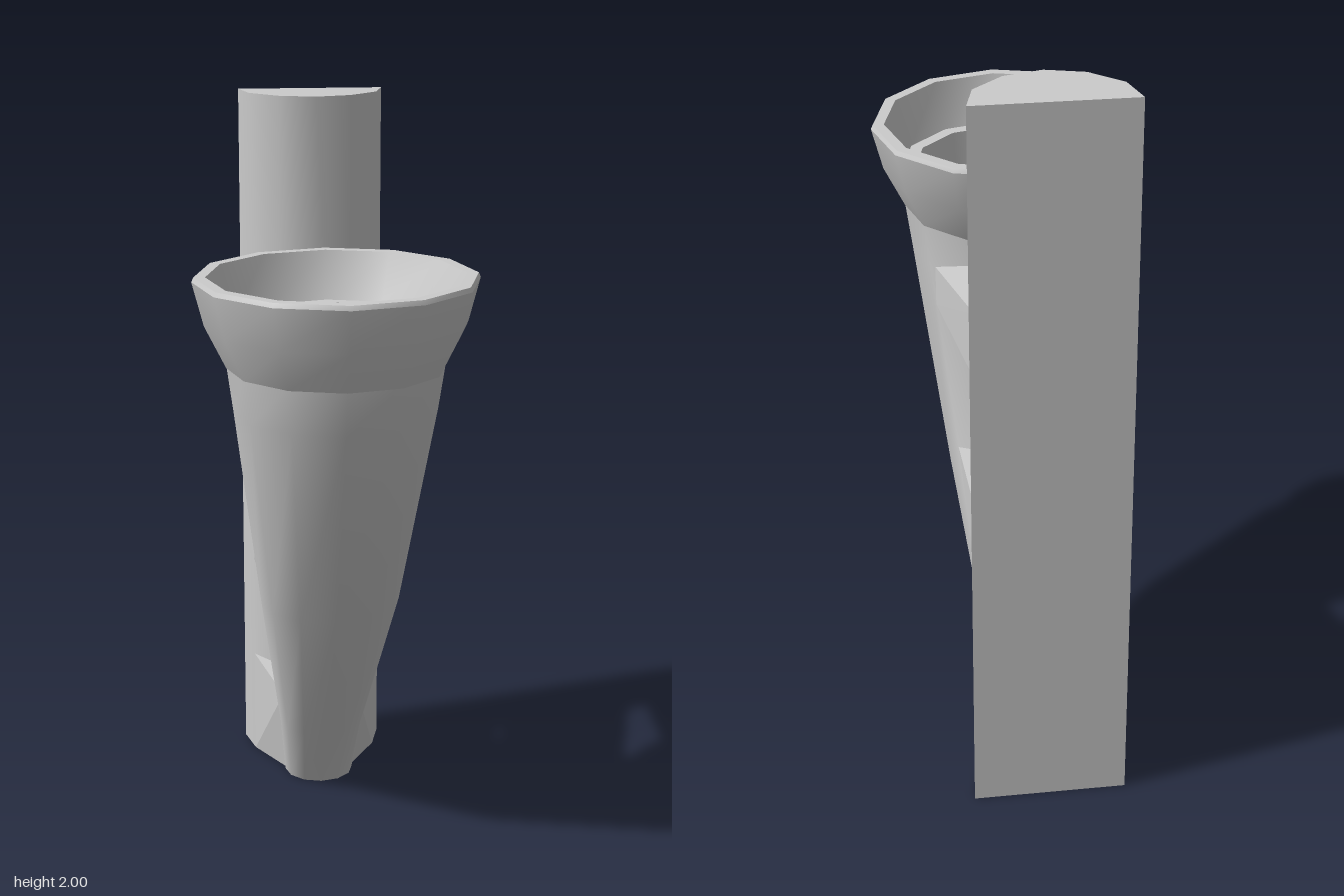
import * as THREE from 'three';
import { toCreasedNormals } from 'three/addons/utils/BufferGeometryUtils.js';
import { ConvexGeometry } from 'three/addons/geometries/ConvexGeometry.js';

const SIDES = 12;
const CREASE = 0.62;

// Skin over a stack of 12-sided rings, each given as [y, centre z, radius]
function loft(rings) {
  const pos = [], idx = [];
  for (const [y, cz, r] of rings) {
    for (let i = 0; i < SIDES; i++) {
      const a = (i / SIDES) * Math.PI * 2;
      pos.push(r * Math.sin(a), y, cz + r * Math.cos(a));
    }
  }
  for (let k = 0; k < rings.length - 1; k++) {
    for (let i = 0; i < SIDES; i++) {
      const j = (i + 1) % SIDES;
      const a = k * SIDES + i, b = k * SIDES + j;
      const c = a + SIDES, d = b + SIDES;
      if (rings[k][2] > 0) idx.push(a, b, d);
      if (rings[k + 1][2] > 0) idx.push(a, d, c);
    }
  }
  const geo = new THREE.BufferGeometry();
  geo.setAttribute('position', new THREE.Float32BufferAttribute(pos, 3));
  geo.setIndex(idx);
  return toCreasedNormals(geo, CREASE);
}

// Solid spanned by corner points, optionally mirrored in x
const solid = (corners, sx = 1) =>
  new ConvexGeometry(corners.map(([x, y, z]) => new THREE.Vector3(sx * x, y, z)));

export function createModel() {
  const group = new THREE.Group();
  const mat = new THREE.MeshStandardMaterial({ color: 0xcccccc });
  const add = (name, geo) => {
    const mesh = new THREE.Mesh(geo, mat);
    mesh.name = name;
    group.add(mesh);
  };

  // Tall back plate: flat behind, rounded in front
  const outline = [[-0.205, 0.6], [0.205, 0.6], [0.18, 0.5], [0.1, 0.425],
    [0, 0.397], [-0.1, 0.425], [-0.18, 0.5]];
  const plate = new THREE.ExtrudeGeometry(
    new THREE.Shape(outline.map(([x, y]) => new THREE.Vector2(x, y))),
    { depth: 2, bevelEnabled: false });
  plate.rotateX(-Math.PI / 2);
  add('backPlate', toCreasedNormals(plate, CREASE));

  // Leaning, tapering body
  add('taperedBody', loft([
    [0, -0.34, 0], [0, -0.34, 0.1], [0.2, -0.24, 0.12], [0.68, 0.045, 0.19],
    [1.27, 0.218, 0.267], [1.4, 0.2275, 0.285],
  ]));

  // Flared cup with a lip, an inner ledge and a floor
  add('cup', loft([
    [1.39, 0.2275, 0.285], [1.5, 0.2275, 0.34], [1.615, 0.2275, 0.37],
    [1.627, 0.2275, 0.365], [1.627, 0.2275, 0.335], [1.5, 0.2275, 0.29],
    [1.5, 0.2275, 0.255], [1.27, 0.22, 0.235], [1.26, 0.22, 0],
  ]));

  // Paired side straps from the plate to the body
  const upper = [
    [0.18, 1.42, -0.5], [0.1, 1.42, -0.425], [0.22, 1.27, 0.08], [0.13, 1.31, 0],
    [0.18, 1.235, -0.5], [0.1, 1.235, -0.425], [0.22, 1.165, 0.06], [0.13, 1.165, 0],
  ];
  const middle = [
    [0.18, 0.84, -0.5], [0.1, 0.84, -0.425], [0.175, 0.765, -0.03], [0.07, 0.79, -0.1],
    [0.18, 0.62, -0.5], [0.1, 0.62, -0.425], [0.145, 0.545, -0.13], [0.07, 0.56, -0.19],
  ];
  for (const [side, sx] of [['left', 1], ['right', -1]]) {
    add(side + 'UpperStrap', solid(upper, sx));
    add(side + 'MiddleStrap', solid(middle, sx));
  }

  // Solid foot web joining body and plate at the base
  const foot = [];
  for (const sx of [1, -1]) {
    foot.push([sx * 0.18, 0.31, -0.5], [sx * 0.11, 0.27, -0.27],
      [sx * 0.18, 0, -0.5], [sx * 0.085, 0, -0.33]);
  }
  add('footWeb', solid(foot));

  return group;
}
